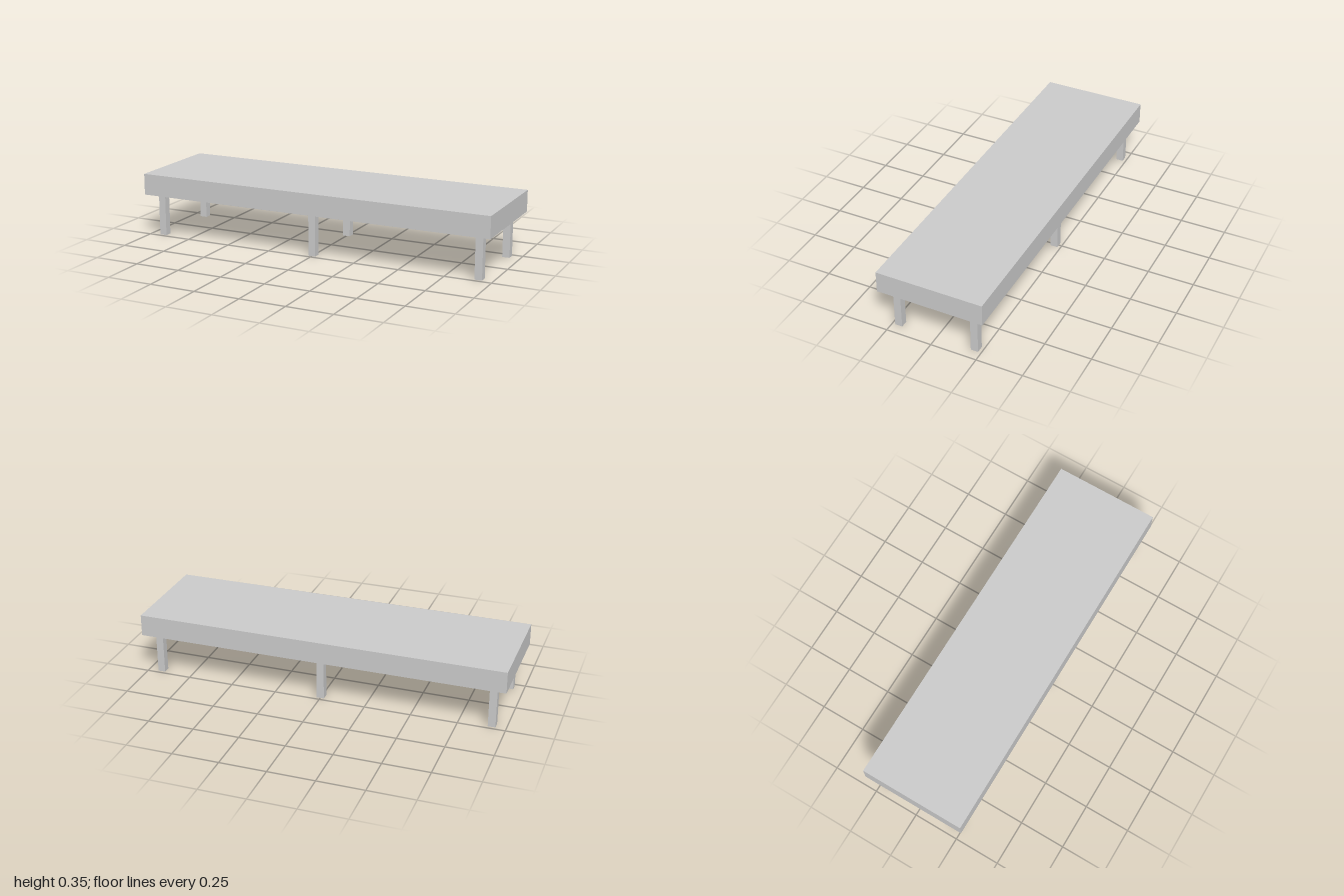
import * as THREE from 'three';

const W = 2, D = 0.577, H = 0.352, APRON = 0.117;
const LEG = 0.04, LEG_H = 0.272;

export function createModel() {
  const group = new THREE.Group();
  const grey = new THREE.MeshStandardMaterial({ color: 0xcacaca, side: THREE.DoubleSide });
  grey.name = 'plain grey';

  const add = (name, geometry, x, y, z, rx = 0, ry = 0) => {
    const mesh = new THREE.Mesh(geometry, grey);
    mesh.name = name;
    mesh.position.set(x, y, z);
    mesh.rotation.set(rx, ry, 0);
    group.add(mesh);
  };

  // Bench top with a thin apron, open underneath
  const apronY = H - APRON / 2;
  const longApron = new THREE.PlaneGeometry(W, APRON);
  const shortApron = new THREE.PlaneGeometry(D, APRON);
  add('benchTop', new THREE.PlaneGeometry(W, D), 0, H, 0, -Math.PI / 2);
  add('frontApron', longApron, 0, apronY, D / 2);
  add('backApron', longApron, 0, apronY, -D / 2, 0, Math.PI);
  add('leftApron', shortApron, W / 2, apronY, 0, 0, Math.PI / 2);
  add('rightApron', shortApron, -W / 2, apronY, 0, 0, -Math.PI / 2);

  // Inset board under the top that carries the legs
  const boardH = H - 0.002 - LEG_H;
  add('innerBoard', new THREE.BoxGeometry(1.88, boardH, 0.42), 0, LEG_H + boardH / 2, 0);

  // Six square hollow legs in two rows, open at the ends
  const legGeometry = new THREE.CylinderGeometry(LEG / Math.SQRT2, LEG / Math.SQRT2, LEG_H, 4, 1, true)
    .rotateY(Math.PI / 4).toNonIndexed();
  legGeometry.computeVertexNormals();
  for (const x of [-0.925, 0, 0.925]) {
    for (const z of [-0.213, 0.213]) {
      add(z > 0 ? 'frontLeg' : 'backLeg', legGeometry, x, LEG_H / 2, z);
    }
  }
  return group;
}
